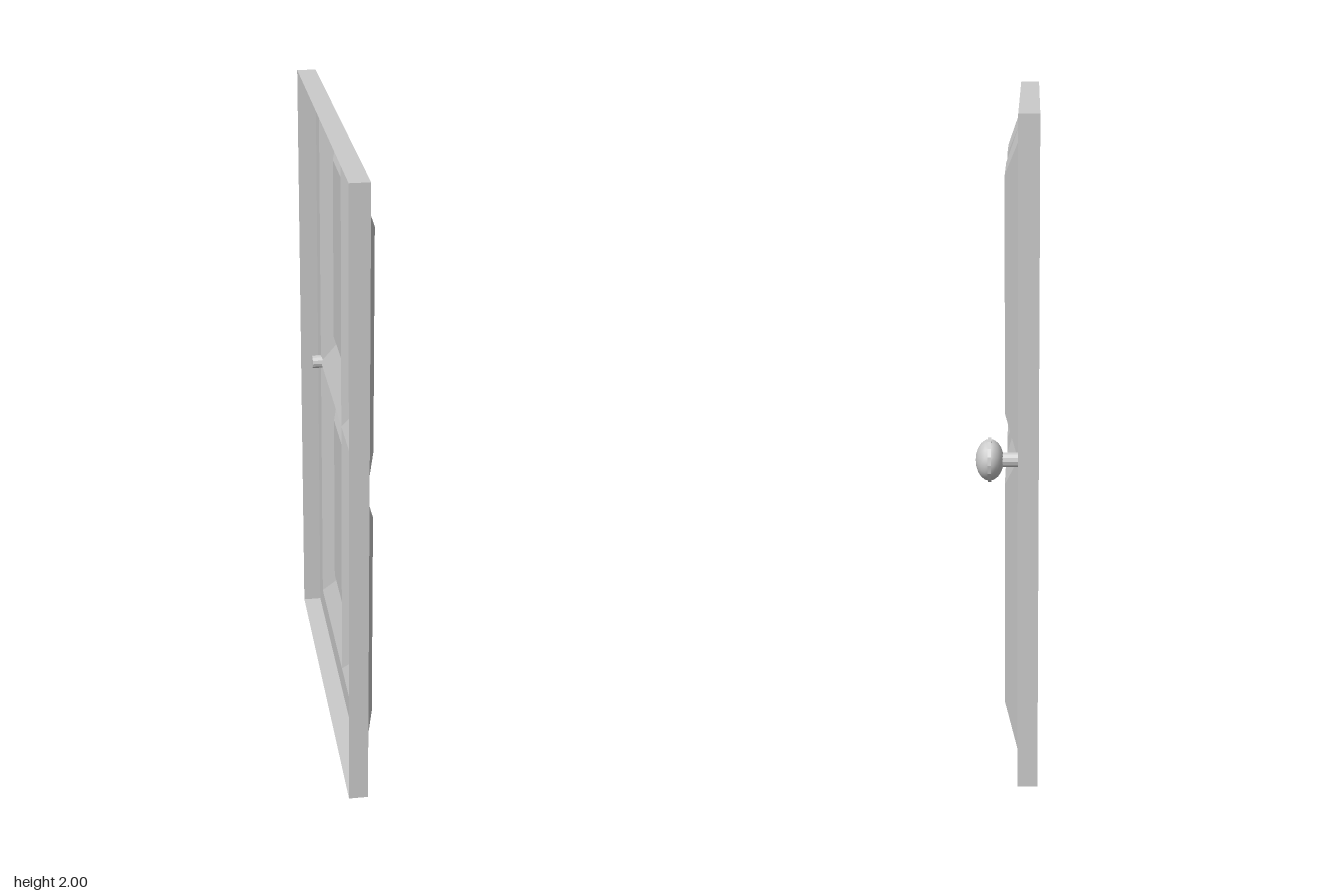
import * as THREE from 'three';

const material = new THREE.MeshStandardMaterial({ color: 0xcccccc, flatShading: true, side: THREE.DoubleSide });
const smooth = new THREE.MeshStandardMaterial({ color: 0xcccccc, side: THREE.DoubleSide });

// Corners of a rectangle in the plane x, counter-clockwise seen from +x
function rect(x, zMid, yMid, halfZ, halfY) {
  return [[1, -1], [-1, -1], [-1, 1], [1, 1]].map(([sz, sy]) => [x, yMid + sy * halfY, zMid + sz * halfZ]);
}

// Joins successive rectangles with flat strips; optionally closes the last one
function loftRects(name, rects, closed) {
  const pos = [];
  const quad = (a, b, c, d) => pos.push(...a, ...b, ...c, ...a, ...c, ...d);
  for (let r = 0; r < rects.length - 1; r++) {
    for (let i = 0; i < 4; i++) {
      const j = (i + 1) % 4;
      quad(rects[r][i], rects[r][j], rects[r + 1][j], rects[r + 1][i]);
    }
  }
  if (closed) quad(...rects[rects.length - 1]);
  const geo = new THREE.BufferGeometry();
  geo.setAttribute('position', new THREE.Float32BufferAttribute(pos, 3));
  geo.computeVertexNormals();
  const mesh = new THREE.Mesh(geo, material);
  mesh.name = name;
  return mesh;
}

// Turned part whose axis runs along +x; profile points are [radius, x]
function turned(name, profile, segments, mat) {
  const geo = new THREE.LatheGeometry(profile.map(([r, x]) => new THREE.Vector2(r, x)), segments);
  geo.rotateZ(-Math.PI / 2);
  const mesh = new THREE.Mesh(geo, mat);
  mesh.name = name;
  return mesh;
}

export function createModel() {
  const door = new THREE.Group();
  door.name = 'door';
  const back = -0.095, face = -0.035, ridge = 0.005, recess = -0.01;

  // Hollow leaf: outer edge and flat border, open at the back
  door.add(loftRects('doorFrame', [
    rect(back, 0, 1, 0.6, 1),
    rect(face, 0, 1, 0.6, 1),
    rect(face, 0, 1, 0.52, 0.917),
  ]));

  // Four raised panels, each with a sunken centre
  for (const sz of [1, -1]) {
    for (const sy of [1, -1]) {
      const z = sz * 0.26, y = 1 + sy * 0.4585, ym = 1 + sy * 0.46;
      door.add(loftRects((sy > 0 ? 'upper' : 'lower') + (sz > 0 ? 'Front' : 'Rear') + 'Panel', [
        rect(face, z, y, 0.26, 0.4585),
        rect(ridge, z, ym, 0.15, 0.35),
        rect(recess, z, ym, 0.11, 0.305),
      ], true));
    }
  }

  // Knob: stem through the leaf, oval grip and a thin band round it
  const knob = new THREE.Group();
  knob.name = 'doorKnob';
  knob.position.set(0, 1, -0.524);
  knob.add(turned('knobStem', [[0, -0.065], [0.022, -0.065], [0.022, 0.015]], 12, material));
  const oval = [];
  for (let i = 0; i <= 10; i++) {
    const a = (i / 10) * Math.PI;
    oval.push([0.061 * Math.sin(a), 0.047 - 0.041 * Math.cos(a)]);
  }
  knob.add(turned('knobGrip', oval, 16, smooth));
  knob.add(turned('knobBand', [[0.055, 0.042], [0.065, 0.042], [0.065, 0.052], [0.055, 0.052]], 16, material));
  door.add(knob);

  return door;
}
